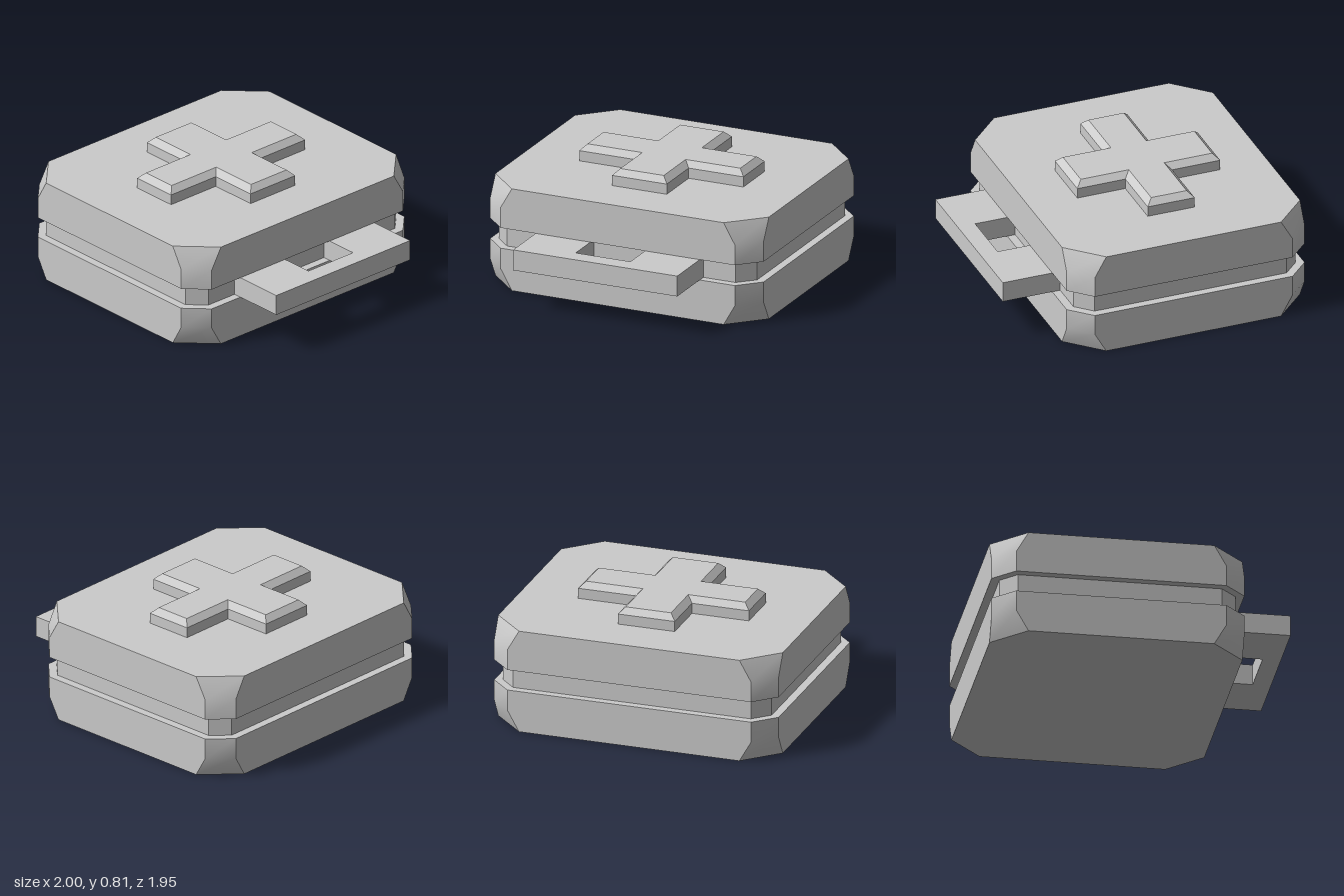
import * as THREE from 'three';
import { toCreasedNormals } from 'three/addons/utils/BufferGeometryUtils.js';

const CENTER_X = -0.172; // centre of the case; the handle sticks out to +x

// Solid through stacked outlines: each ring is [y, points], points counter-clockwise from above
function loft(rings) {
  const pos = [], index = [], n = rings[0][1].length;
  for (const [y, pts] of rings) for (const [u, v] of pts) pos.push(u, y, -v);
  for (let r = 0; r < rings.length - 1; r++) {
    for (let i = 0; i < n; i++) {
      const a = r * n + i, b = r * n + (i + 1) % n;
      index.push(a, b, b + n, a, b + n, a + n);
    }
  }
  // End caps
  const cap = (r, flip) => {
    const outline = rings[r][1].map(([u, v]) => new THREE.Vector2(u, v));
    for (const [a, b, c] of THREE.ShapeUtils.triangulateShape(outline, [])) {
      index.push(r * n + a, r * n + (flip ? c : b), r * n + (flip ? b : c));
    }
  };
  cap(0, true);
  cap(rings.length - 1, false);
  const geo = new THREE.BufferGeometry();
  geo.setAttribute('position', new THREE.Float32BufferAttribute(pos, 3));
  geo.setIndex(index);
  return toCreasedNormals(geo, 0.6);
}

// Rectangle with cut corners
const octagon = (hx, hz, cut) => [
  [hx, -hz + cut], [hx, hz - cut], [hx - cut, hz], [-hx + cut, hz],
  [-hx, hz - cut], [-hx, -hz + cut], [-hx + cut, -hz], [hx - cut, -hz],
].map(([u, v]) => [u + CENTER_X, v]);

// Plus outline, shrunk on all sides by inset
function plus(inset) {
  const lx = 0.497 - inset, lz = 0.585 - inset, wx = 0.163 - inset, wz = 0.195 - inset;
  return [
    [lx, -wz], [lx, wz], [wx, wz], [wx, lz], [-wx, lz], [-wx, wz],
    [-lx, wz], [-lx, -wz], [-wx, -wz], [-wx, -lz], [wx, -lz], [wx, -wz],
  ].map(([u, v]) => [u + CENTER_X, v]);
}

export function createModel() {
  const model = new THREE.Group();
  const material = new THREE.MeshStandardMaterial({ color: 0xcccccc });
  const add = (name, rings) => {
    const mesh = new THREE.Mesh(loft(rings), material);
    mesh.name = name;
    model.add(mesh);
  };

  // Case halves: the corner cuts widen toward the outer face
  const narrow = octagon(0.828, 0.975, 0.14), wide = octagon(0.828, 0.975, 0.22);
  add('lowerCase', [[0, wide], [0.14, narrow], [0.28, narrow]]);
  add('upperCase', [[0.42, narrow], [0.56, narrow], [0.7, wide]]);

  // Recessed band between the halves
  const band = octagon(0.773, 0.92, 0.105);
  add('middleBand', [[0.28, band], [0.42, band]]);

  // U-shaped carrying handle
  const handle = [
    [0.6, -0.585], [1, -0.585], [1, 0.585], [0.6, 0.585],
    [0.6, 0.195], [0.88, 0.195], [0.88, -0.195], [0.6, -0.195],
  ];
  add('handle', [[0.28, handle], [0.42, handle]]);

  // Raised cross with bevelled top
  add('cross', [[0.7, plus(0)], [0.77, plus(0)], [0.81, plus(0.04)]]);

  return model;
}
